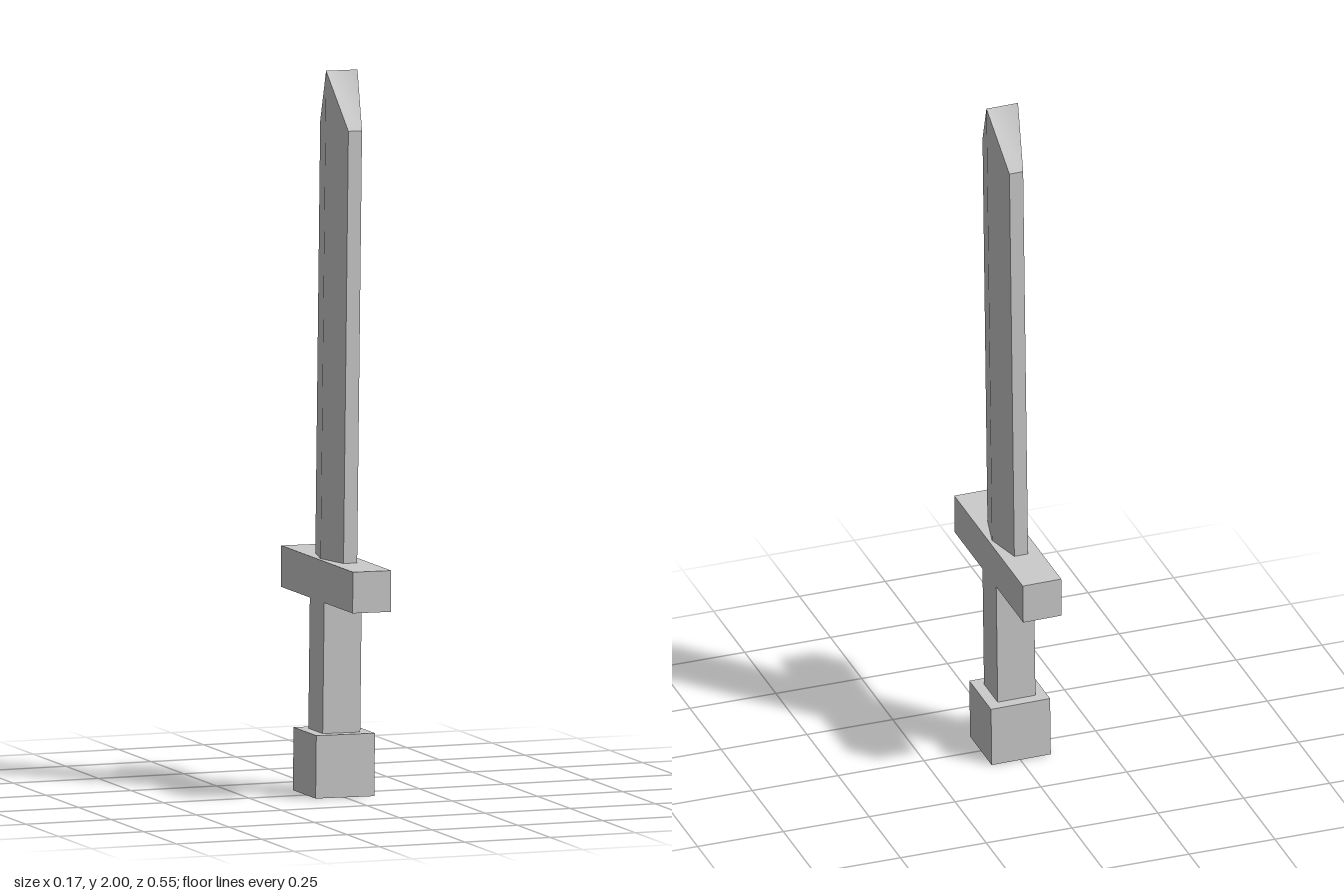
import * as THREE from 'three';
import { mergeGeometries } from 'three/addons/utils/BufferGeometryUtils.js';

const material = new THREE.MeshStandardMaterial({ color: 0xcccccc });

function box(name, width, y0, y1, depth) {
  const mesh = new THREE.Mesh(new THREE.BoxGeometry(width, y1 - y0, depth), material);
  mesh.name = name;
  mesh.position.y = (y0 + y1) / 2;
  return mesh;
}

// Strip between two rows of points, both running left to right seen from outside.
// Shared vertices keep it smooth inside; separate strips meet at hard edges.
function strip(lower, upper) {
  const n = lower.length;
  const index = [];
  for (let i = 0; i < n - 1; i++) index.push(i, i + 1, n + i + 1, i, n + i + 1, n + i);
  const geometry = new THREE.BufferGeometry();
  geometry.setAttribute('position', new THREE.Float32BufferAttribute([...lower, ...upper].flat(), 3));
  geometry.setIndex(index);
  geometry.computeVertexNormals();
  return geometry;
}

// Six-sided blade with a central ridge on each face and a roof-shaped tip
function bladeGeometry() {
  const base = 0.645, shoulder = 1.845, tip = 1.999;
  const ridge = 0.046, edge = 0.02, half = 0.108;
  // Row of three points (front edge, ridge, back edge) on one side of the blade
  const row = (side, yEdge, yRidge) => [
    [side * edge, yEdge, half], [side * ridge, yRidge, 0], [side * edge, yEdge, -half],
  ];
  const rightLow = row(1, base, base), rightHigh = row(1, shoulder, tip);
  const leftLow = row(-1, base, base), leftHigh = row(-1, shoulder, tip);
  return mergeGeometries([
    strip(rightLow, rightHigh),
    strip([...leftLow].reverse(), [...leftHigh].reverse()),
    strip([leftLow[0], rightLow[0]], [leftHigh[0], rightHigh[0]]),
    strip([rightLow[2], leftLow[2]], [rightHigh[2], leftHigh[2]]),
    strip(rightHigh, leftHigh),
    strip(leftLow, rightLow),
  ]);
}

export function createModel() {
  const sword = new THREE.Group();
  sword.name = 'sword';
  // The whole sword leans very slightly towards +x
  sword.rotation.z = -0.012;
  sword.position.set(-0.002, 0.001, 0);

  const blade = new THREE.Mesh(bladeGeometry(), material);
  blade.name = 'blade';
  sword.add(
    box('pommel', 0.172, 0, 0.174, 0.174),
    box('grip', 0.11, 0.17, 0.545, 0.11),
    box('crossguard', 0.112, 0.536, 0.65, 0.55),
    blade,
  );

  const model = new THREE.Group();
  model.add(sword);
  return model;
}
